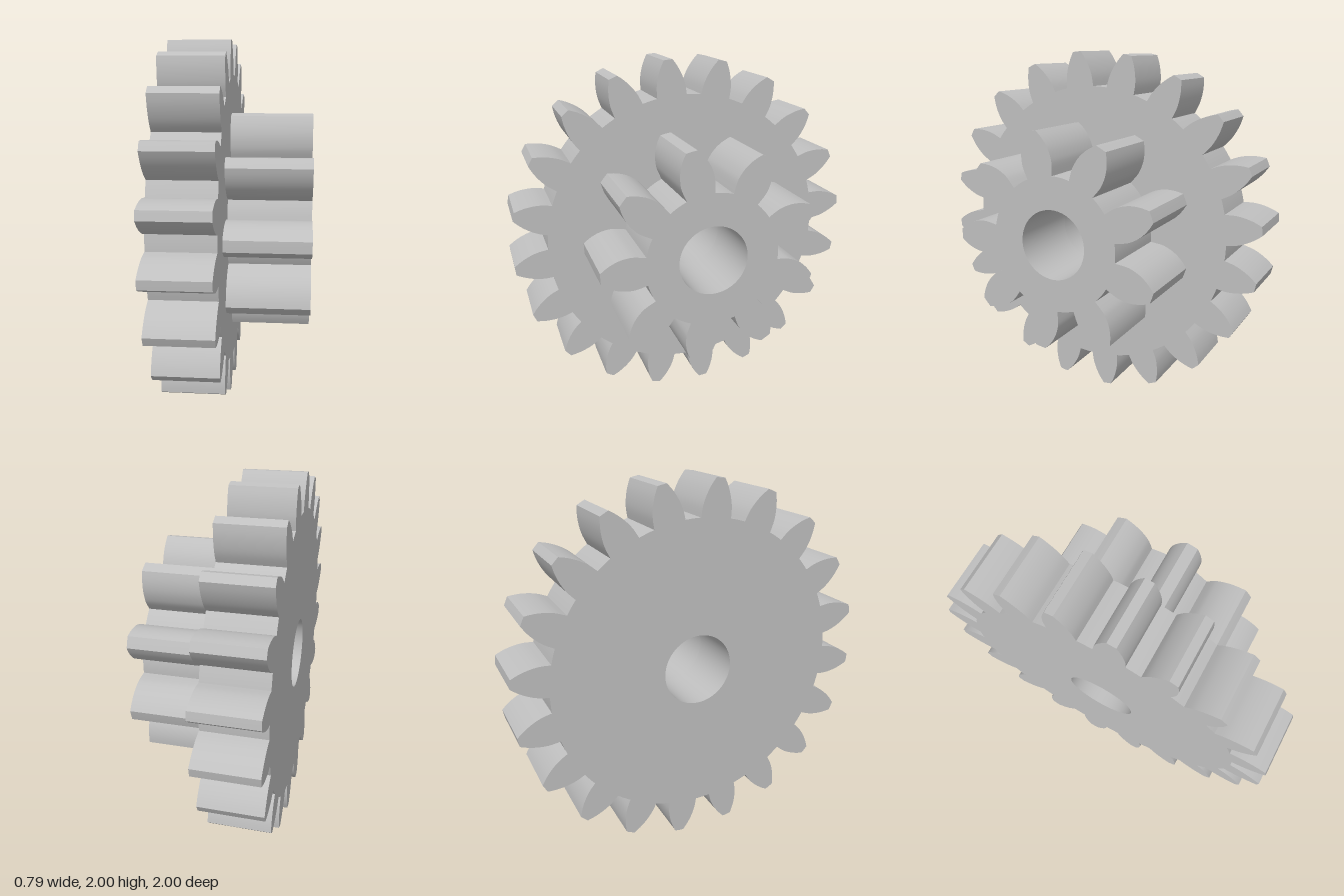
import * as THREE from 'three';
import { toCreasedNormals } from 'three/addons/utils/BufferGeometryUtils.js';

const DEG = Math.PI / 180;
const BORE = 0.194;

// Closed gear outline with a round bore.
// flank: [radius, half angle in degrees] from tooth root to tip.
function gearShape(teeth, offset, flank) {
  const polar = (r, deg) => new THREE.Vector2(r * Math.cos(deg * DEG), r * Math.sin(deg * DEG));
  const side = new THREE.SplineCurve(flank.map(([r, a]) => new THREE.Vector2(r, a))).getPoints(14);
  const pitch = 360 / teeth;
  const [rootR, rootA] = flank[0];
  const [tipR] = flank[flank.length - 1];
  const pts = [];
  for (let i = 0; i < teeth; i++) {
    const c = offset + i * pitch;
    side.forEach(p => pts.push(polar(p.x, c - p.y)));             // rising flank
    pts.push(polar(tipR, c));                                     // tip land
    [...side].reverse().forEach(p => pts.push(polar(p.x, c + p.y))); // falling flank
    const gap = pitch - 2 * rootA;
    for (let k = 1; k < 4; k++) pts.push(polar(rootR, c + rootA + gap * k / 4)); // root arc
  }
  const shape = new THREE.Shape(pts);
  shape.holes.push(new THREE.Path().absarc(0, 0, BORE, 0, Math.PI * 2, true));
  return shape;
}

// Extrudes a gear along the x axis between x0 and x1
function gear(name, shape, x0, x1, material) {
  let geo = new THREE.ExtrudeGeometry(shape, { depth: x1 - x0, bevelEnabled: false, curveSegments: 32 });
  geo.rotateY(Math.PI / 2);
  geo = toCreasedNormals(geo, 20 * DEG);
  const mesh = new THREE.Mesh(geo, material);
  mesh.name = name;
  mesh.position.set(x0, 1, 0);
  return mesh;
}

export function createModel() {
  const group = new THREE.Group();
  group.name = 'compoundGear';
  const steel = new THREE.MeshStandardMaterial({ color: 0xbfbfbf });
  steel.name = 'grey steel';

  // Wide wheel with 20 teeth
  const wheel = gearShape(20, 6, [[0.811, 6], [0.865, 5.4], [0.912, 4.4], [0.96, 3], [1.003, 1.4]]);
  group.add(gear('largeGear', wheel, -0.395, -0.05, steel));

  // Pinion with 9 teeth
  const pinion = gearShape(9, 21.8, [[0.376, 12], [0.44, 12], [0.48, 11], [0.525, 9.1], [0.572, 6.2], [0.614, 2.9]]);
  group.add(gear('smallGear', pinion, -0.05, 0.395, steel));

  return group;
}
